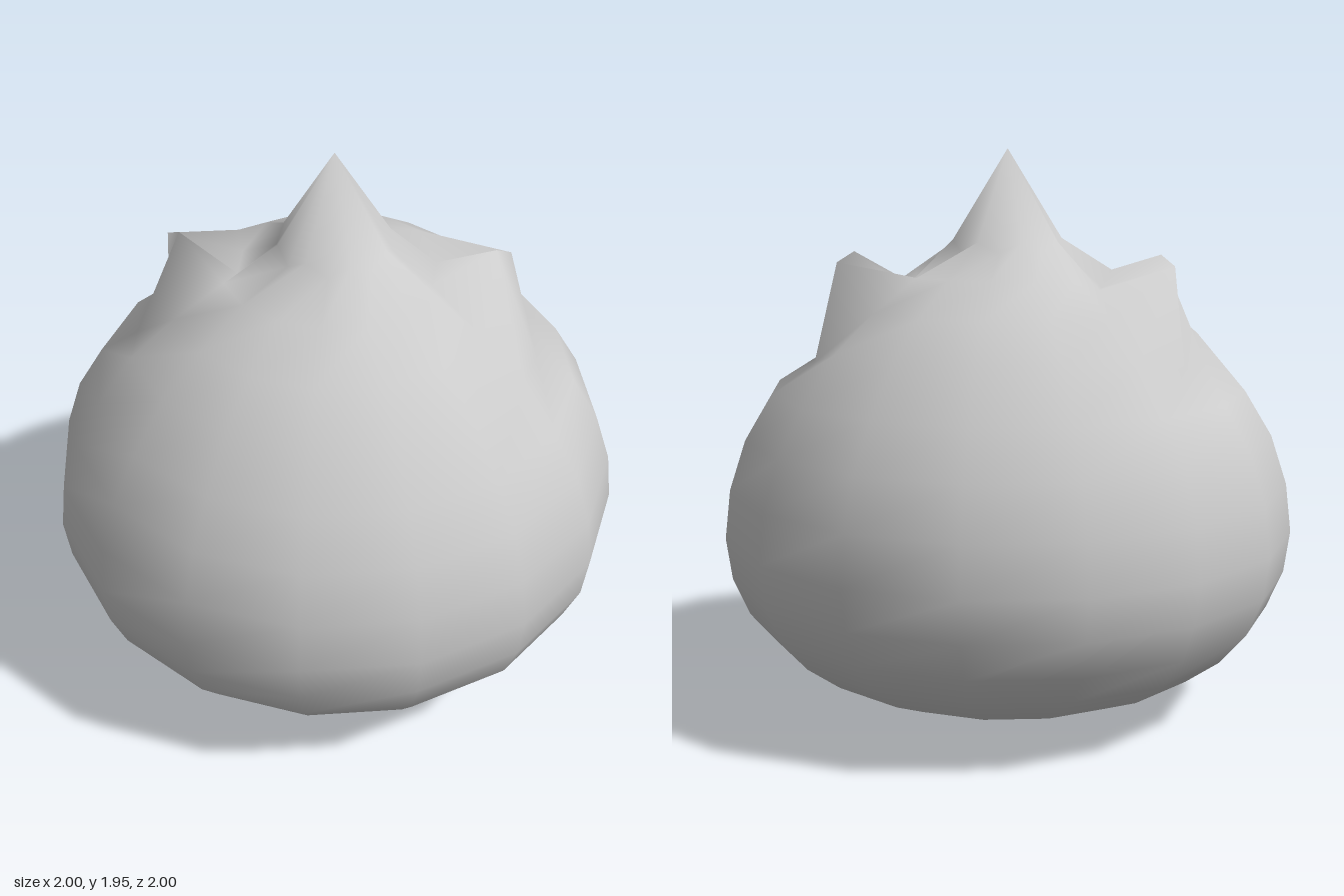
import * as THREE from 'three';
import { mergeVertices } from 'three/addons/utils/BufferGeometryUtils.js';

const SIDES = 16;

// Body profile from the top pole to the bottom pole: [radius, height]
const PROFILE = [
  [0, 1.95], [0.195, 1.62], [0.38, 1.525], [0.555, 1.415], [0.707, 1.29],
  [0.83, 1.125], [0.924, 0.97], [0.98, 0.8], [1, 0.63], [0.98, 0.485],
  [0.924, 0.355], [0.83, 0.245], [0.707, 0.155], [0.555, 0.09],
  [0.38, 0.04], [0.195, 0.015], [0, 0],
];

// Ear points on the left (+x): 'ring,side' -> position; the right is mirrored
const EAR = {
  '3,0': [0.535, 1.595, -0.05], '3,15': [0.585, 1.56, -0.1],
  '2,0': [0.33, 1.475, 0], '2,15': [0.335, 1.48, -0.14],
  '4,0': [0.695, 1.21, 0], '4,15': [0.63, 1.23, -0.25],
};

function point(ring, side) {
  const k = side % SIDES;
  const mirrored = (SIDES + 8 - k) % SIDES;
  const left = EAR[`${ring},${k}`];
  const right = EAR[`${ring},${mirrored}`];
  if (left) return left;
  if (right) return [-right[0], right[1], right[2]];
  const a = (k / SIDES) * Math.PI * 2;
  const [r, h] = PROFILE[ring];
  // The base of the top spike is gently fluted
  const flute = ring === 1 ? (k % 2 ? 0.02 : -0.02) : 0;
  return [r * Math.cos(a), h + flute, r * Math.sin(a)];
}

function bodyGeometry() {
  const positions = [];
  const last = PROFILE.length - 2;
  for (let j = 0; j <= last; j++) {
    for (let k = 0; k < SIDES; k++) {
      const a = point(j, k), b = point(j, k + 1);
      const c = point(j + 1, k + 1), d = point(j + 1, k);
      if (j < last) positions.push(...a, ...c, ...d);
      if (j > 0) positions.push(...a, ...b, ...c);
    }
  }
  const g = new THREE.BufferGeometry();
  g.setAttribute('position', new THREE.Float32BufferAttribute(positions, 3));
  const merged = mergeVertices(g, 1e-4);
  merged.computeVertexNormals();
  return merged;
}

export function createModel() {
  const group = new THREE.Group();
  group.name = 'earedBlob';
  // Round body with ears and top spike pulled out of one skin
  const body = new THREE.Mesh(
    bodyGeometry(),
    new THREE.MeshStandardMaterial({ color: 0xcccccc }),
  );
  body.name = 'bodyWithEarsAndSpike';
  group.add(body);
  return group;
}
